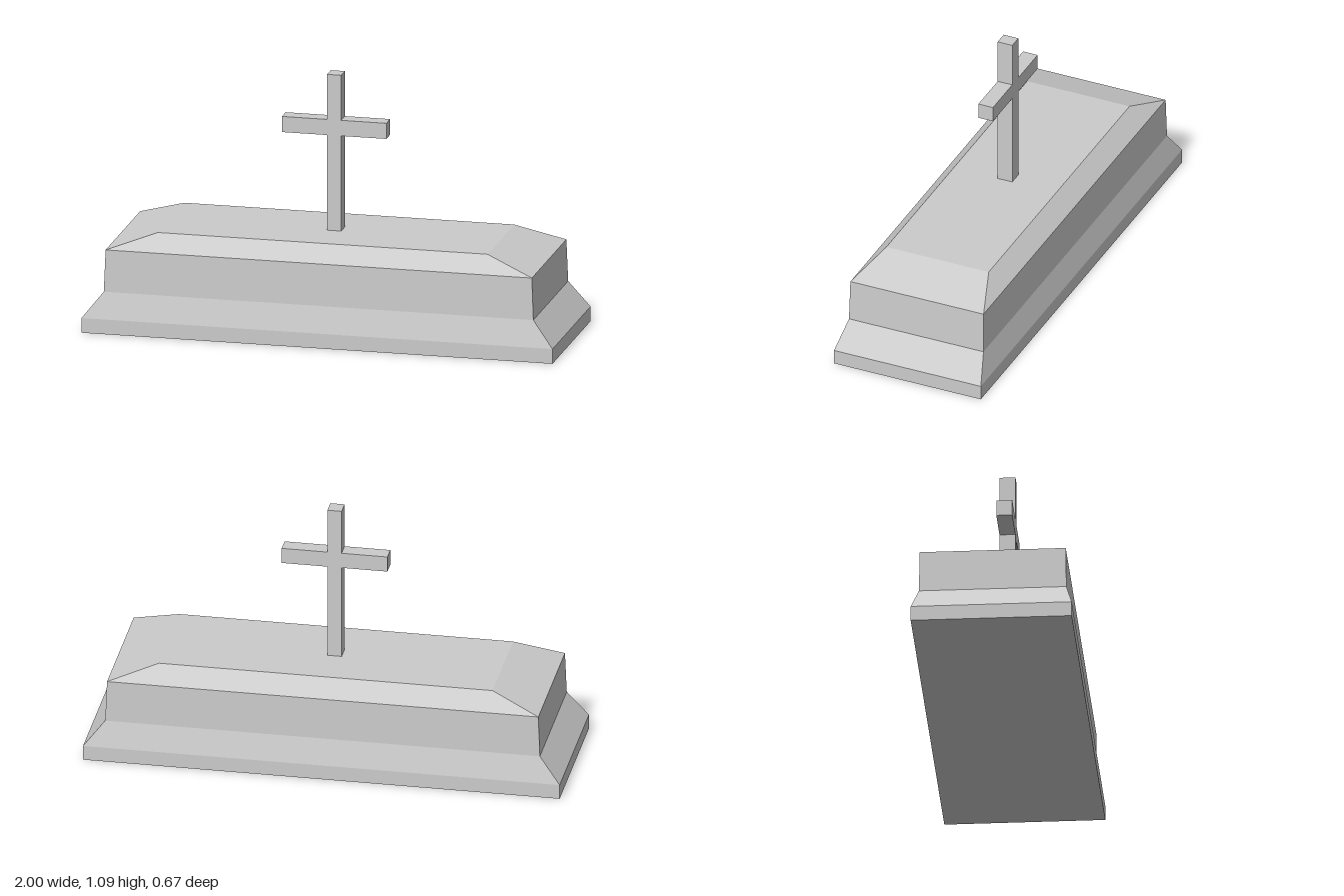
import * as THREE from 'three';

const material = new THREE.MeshStandardMaterial({ color: 0xcccccc, flatShading: true });

// Closed solid from stacked rectangles, each [y, half width, half depth]
function stackedRectangles(levels) {
  const rings = levels.map(([y, w, d]) => [[w, y, d], [w, y, -d], [-w, y, -d], [-w, y, d]]);
  const positions = [];
  const quad = (a, b, c, d) => positions.push(...a, ...b, ...c, ...a, ...c, ...d);
  for (let i = 0; i < rings.length - 1; i++) {
    const lower = rings[i], upper = rings[i + 1];
    for (let k = 0; k < 4; k++) {
      const n = (k + 1) % 4;
      quad(lower[k], lower[n], upper[n], upper[k]);
    }
  }
  quad(...rings[0].slice().reverse());
  quad(...rings[rings.length - 1]);
  const geometry = new THREE.BufferGeometry();
  geometry.setAttribute('position', new THREE.Float32BufferAttribute(positions, 3));
  geometry.computeVertexNormals();
  return geometry;
}

// Cross outline: right half from the foot up, then mirrored
function crossGeometry() {
  const post = 0.03, arm = 0.222, depth = 0.066;
  const half = [[post, 0.42], [post, 0.83], [arm, 0.83], [arm, 0.897], [post, 0.897], [post, 1.09]];
  const mirrored = half.map(([x, y]) => [-x, y]).reverse();
  const shape = new THREE.Shape([...half, ...mirrored].map(([x, y]) => new THREE.Vector2(x, y)));
  return new THREE.ExtrudeGeometry(shape, { depth, bevelEnabled: false }).translate(0, 0, -depth / 2);
}

export function createModel() {
  const group = new THREE.Group();
  group.name = 'tomb';
  const add = (name, geometry) => {
    const mesh = new THREE.Mesh(geometry, material);
    mesh.name = name;
    group.add(mesh);
  };

  // Plinth, sloped skirt, upright sides and bevelled lid
  add('tombBody', stackedRectangles([
    [0, 1, 0.333],
    [0.063, 1, 0.333],
    [0.174, 0.912, 0.305],
    [0.353, 0.905, 0.302],
    [0.422, 0.7, 0.232],
  ]));

  add('cross', crossGeometry());
  return group;
}
